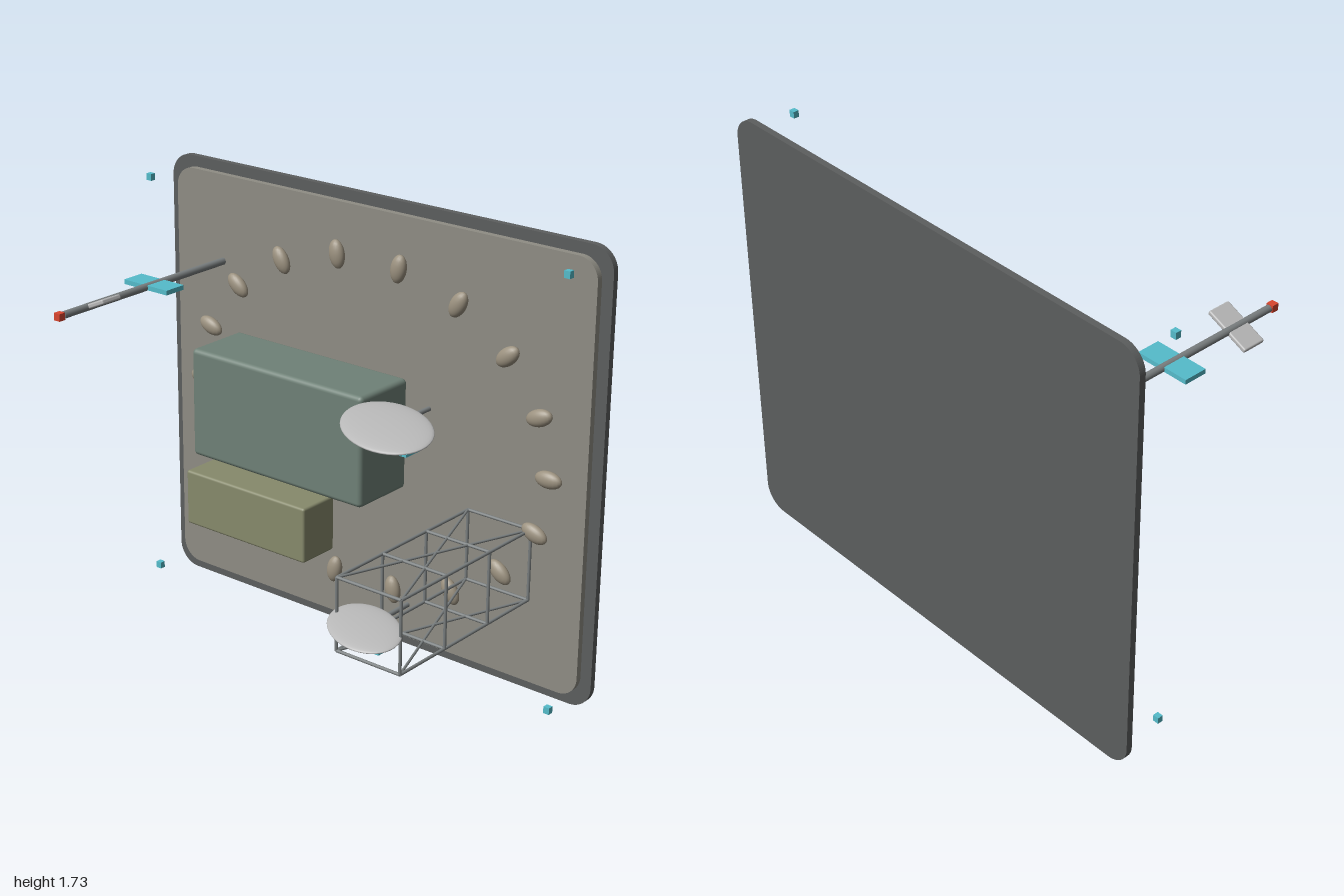
import * as THREE from 'three';
import { RoundedBoxGeometry } from 'three/addons/geometries/RoundedBoxGeometry.js';

const paint = (color) => new THREE.MeshStandardMaterial({ color });
const mats = {
  dark: paint(0x5c5e5e), panel: paint(0x8f8d84), green: paint(0x6f8177), olive: paint(0x878a6c),
  stone: paint(0x9c9280), steel: paint(0x7a7f80), pale: paint(0xb8b8b8), cyan: paint(0x55bccb), red: paint(0xd9452e),
};

export function createModel() {
  const model = new THREE.Group();

  const add = (name, geometry, mat, x, y, z, parent = model) => {
    const mesh = new THREE.Mesh(geometry, mats[mat]);
    mesh.name = name;
    mesh.position.set(x, y, z);
    parent.add(mesh);
    return mesh;
  };

  const group = (name) => {
    const g = new THREE.Group();
    g.name = name;
    model.add(g);
    return g;
  };

  // Round bar between two points
  const bar = (name, a, b, radius, mat, parent) => {
    const from = new THREE.Vector3(...a), to = new THREE.Vector3(...b);
    const dir = to.clone().sub(from);
    const mid = from.clone().add(to).multiplyScalar(0.5);
    const mesh = add(name, new THREE.CylinderGeometry(radius, radius, dir.length(), 12), mat, mid.x, mid.y, mid.z, parent);
    mesh.quaternion.setFromUnitVectors(new THREE.Vector3(0, 1, 0), dir.normalize());
  };

  // Plate with rounded corners, from z upward by depth
  const plate = (name, w, h, r, depth, mat, y, z) => {
    const s = new THREE.Shape();
    const x1 = w / 2 - r, y1 = h / 2 - r;
    s.absarc(x1, y1, r, 0, Math.PI / 2);
    s.absarc(-x1, y1, r, Math.PI / 2, Math.PI);
    s.absarc(-x1, -y1, r, Math.PI, Math.PI * 1.5);
    s.absarc(x1, -y1, r, Math.PI * 1.5, Math.PI * 2);
    s.closePath();
    add(name, new THREE.ExtrudeGeometry(s, { depth, bevelEnabled: false, curveSegments: 10 }), mat, 0, y, z);
  };

  // Back board and raised panel
  plate('backBoard', 2, 1.73, 0.09, 0.025, 'dark', 0.866, -0.48);
  plate('frontPanel', 1.91, 1.645, 0.08, 0.025, 'panel', 0.867, -0.455);

  // Ring of oval studs, each pointing outward
  const studs = group('studRing');
  const studGeo = new THREE.SphereGeometry(1, 20, 14).scale(0.055, 0.032, 0.024);
  for (let i = 0; i < 18; i++) {
    const a = (i / 18) * Math.PI * 2;
    const stud = add('stud', studGeo, 'stone', Math.cos(a) * 0.815, 0.87 + Math.sin(a) * 0.64, -0.401, studs);
    stud.rotation.z = a;
  }

  // Equipment boxes
  add('largeBox', new RoundedBoxGeometry(0.82, 0.43, 0.27, 3, 0.018), 'green', -0.24, 0.87, -0.297);
  add('smallBox', new RoundedBoxGeometry(0.6, 0.225, 0.18, 3, 0.01), 'olive', -0.47, 0.417, -0.34);

  // Boom with two paddles and a tip light
  const boom = group('boom');
  const bx = -0.725, by = 1.35;
  bar('boomRod', [bx, by, -0.43], [bx, by, 0.42], 0.014, 'steel', boom);
  add('flatPaddle', new THREE.BoxGeometry(0.215, 0.018, 0.092), 'cyan', bx, by, -0.047, boom);
  const tilted = add('tiltedPaddle', new RoundedBoxGeometry(0.185, 0.018, 0.094, 2, 0.006), 'pale', bx, by, 0.258, boom);
  tilted.rotation.z = 0.42;
  add('tipLight', new THREE.BoxGeometry(0.028, 0.028, 0.028), 'red', bx, by, 0.437, boom);

  // Open truss: rails, square frames and crossed braces
  const truss = group('truss');
  const x0 = 0.46, x1 = 0.735, y0 = 0.373, y1 = 0.65, z0 = -0.425, z1 = 0.325;
  const r = 0.006;
  for (const y of [y0, y1]) {
    for (const x of [x0, x1]) bar('trussRail', [x, y, z0], [x, y, z1], r, 'steel', truss);
    bar('trussBrace', [x0, y, z0], [x1, y, z1], r * 0.8, 'steel', truss);
    bar('trussBrace', [x1, y, z0], [x0, y, z1], r * 0.8, 'steel', truss);
  }
  for (let i = 0; i < 4; i++) {
    const z = z0 + ((z1 - z0) * i) / 3;
    for (const y of [y0, y1]) bar('trussCrossbar', [x0, y, z], [x1, y, z], r, 'steel', truss);
    for (const x of [x0, x1]) bar('trussPost', [x, y0, z], [x, y1, z], r, 'steel', truss);
  }

  // Tilted oval dishes, each with a stem and a small plate below
  const dish = (name, x, y, z, k, stemEnd, plateX, plateY, plateZ) => {
    const g = group(name);
    const disc = add('dishDisc', new THREE.SphereGeometry(1, 40, 20).scale(0.215 * k, 0.02 * k, 0.148 * k), 'pale', x, y, z, g);
    disc.rotation.set(0.14, -0.43, 0);
    bar('dishStem', [x, y, stemEnd], [x, y, z], 0.009, 'steel', g);
    add('dishPlate', new THREE.BoxGeometry(0.147 * k, 0.01, 0.092 * k), 'cyan', plateX, plateY, plateZ, g);
  };
  dish('upperDish', 0.37, 1.057, -0.053, 1, -0.295, 0.438, 1.01, -0.025);
  dish('lowerDish', 0.597, 0.51, 0.345, 0.78, 0.107, 0.65, 0.473, 0.372);

  // Corner markers standing off the board
  const corners = group('cornerMarkers');
  for (const x of [-0.943, 0.943]) {
    for (const y of [0.065, 1.677]) add('marker', new THREE.BoxGeometry(0.024, 0.026, 0.022), 'cyan', x, y, -0.27, corners);
  }

  return model;
}
